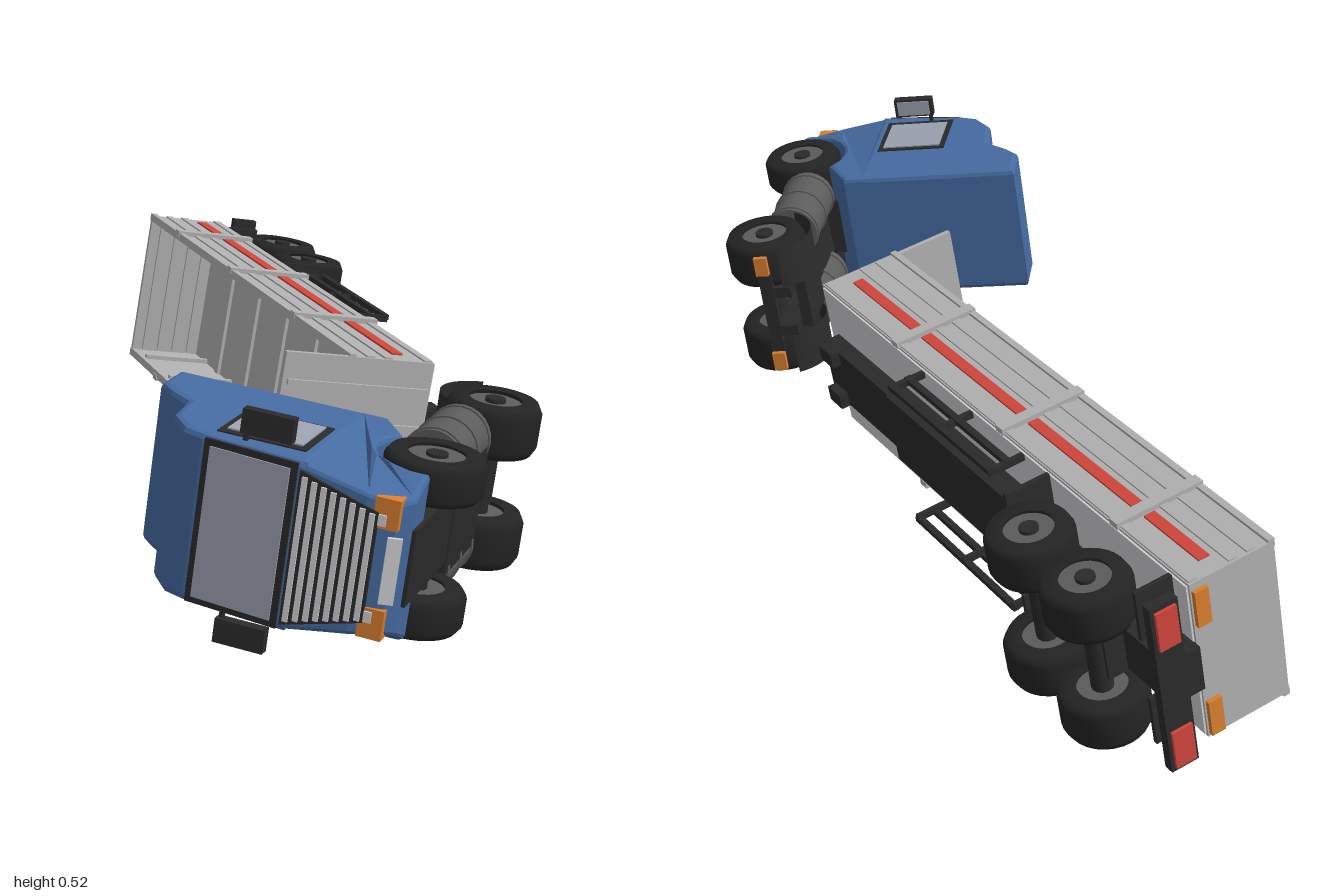
import * as THREE from 'three';

const mat = (name, color) => {
  const m = new THREE.MeshStandardMaterial({ color, side: THREE.DoubleSide });
  m.name = name;
  return m;
};
const blue = mat('cab blue', 0x466ca2);
const grey = mat('body grey', 0xb2b2b2);
const pale = mat('pale grey', 0xd2d2d6);
const dark = mat('chassis black', 0x2b2b2b);
const rubber = mat('tyre black', 0x242424);
const steel = mat('dark steel', 0x5c5c5c);
const glass = mat('window glass', 0x9da2b2);
const red = mat('red', 0xd0463c);
const orange = mat('orange', 0xdb8030);

function add(parent, name, geometry, material, x = 0, y = 0, z = 0) {
  const m = new THREE.Mesh(geometry, material);
  m.name = name;
  m.position.set(x, y, z);
  parent.add(m);
  return m;
}
const box = (parent, name, material, w, h, d, x, y, z) =>
  add(parent, name, new THREE.BoxGeometry(w, h, d), material, x, y, z);

// Side profile of [z, y] points, extruded across the vehicle
function sideExtrude(points, width, bevel) {
  const shape = new THREE.Shape(points.map(p => new THREE.Vector2(p[0], p[1])));
  const depth = width - 2 * bevel;
  const g = new THREE.ExtrudeGeometry(shape, {
    depth, bevelEnabled: true, bevelSize: bevel, bevelThickness: bevel, bevelOffset: -bevel, bevelSegments: 2,
  });
  return g.translate(0, 0, -depth / 2).rotateY(-Math.PI / 2);
}

// Wheel with its axle along x and a dished hub on both faces
function wheel(parent, name, r, w, x, y, z) {
  const g = new THREE.Group();
  g.name = name;
  g.position.set(x, y, z);
  parent.add(g);
  const h = w / 2;
  const profile = [[0.56, -h], [0.9, -h], [1, -h * 0.65], [1, h * 0.65], [0.9, h], [0.56, h]]
    .map(p => new THREE.Vector2(p[0] * r, p[1]));
  add(g, 'tyre', new THREE.LatheGeometry(profile, 28).rotateZ(Math.PI / 2), rubber);
  add(g, 'rim', new THREE.CylinderGeometry(r * 0.57, r * 0.57, w * 0.86, 24).rotateZ(Math.PI / 2), steel);
  add(g, 'hub', new THREE.CylinderGeometry(r * 0.22, r * 0.22, w * 1.02, 12).rotateZ(Math.PI / 2), dark);
}

// Turns a group so that its z axis is forward and its x axis is left
function orient(group, forward, left, origin) {
  const f = new THREE.Vector3(...forward).normalize();
  const up = f.clone().cross(new THREE.Vector3(...left)).normalize();
  const l = up.clone().cross(f);
  group.quaternion.setFromRotationMatrix(new THREE.Matrix4().makeBasis(l, up, f));
  group.position.set(...origin);
}

function buildTractor() {
  const t = new THREE.Group();
  t.name = 'tractor';

  // Upper cab with the raised roof at the back
  add(t, 'cabUpper', sideExtrude([[-0.152, 0.17], [0.203, 0.17], [0.18, 0.375], [0.165, 0.415], [0.11, 0.457],
    [0.016, 0.468], [-0.02, 0.515], [-0.055, 0.548], [-0.152, 0.55]], 0.315, 0.012), blue);

  // Lower cab with wheel arches, narrowing toward the bumper
  const lower = [[-0.152, 0.19], [-0.152, 0.135]];
  for (let a = 130; a >= -10; a -= 20) {
    const r = a * Math.PI / 180;
    lower.push([0.106 * Math.cos(r), 0.106 * Math.sin(r)]);
  }
  lower.push([0.17, -0.018], [0.195, 0.005], [0.207, 0.06], [0.203, 0.19]);
  const lowerGeo = sideExtrude(lower, 0.315, 0.01);
  const pos = lowerGeo.attributes.position;
  for (let i = 0; i < pos.count; i++) {
    const front = THREE.MathUtils.smoothstep(pos.getZ(i), 0.09, 0.2);
    const low = THREE.MathUtils.clamp((0.2 - pos.getY(i)) / 0.2, 0, 1);
    pos.setX(i, pos.getX(i) * (1 - 0.24 * front * low));
  }
  lowerGeo.computeVertexNormals();
  add(t, 'cabLower', lowerGeo, blue);

  // Windscreen
  const screen = new THREE.Group();
  screen.name = 'windscreen';
  screen.position.set(0, 0.277, 0.194);
  screen.rotation.x = -0.112;
  t.add(screen);
  box(screen, 'windscreenFrame', dark, 0.304, 0.18, 0.006, 0, 0, 0);
  box(screen, 'windscreenGlass', glass, 0.28, 0.155, 0.006, 0, 0, 0.003);

  // Grille: dark tapered plate with pale slats
  const plate = new THREE.Shape([[-0.142, 0.182], [-0.1, 0.035], [0.1, 0.035], [0.142, 0.182]]
    .map(p => new THREE.Vector2(...p)));
  add(t, 'grillePlate', new THREE.ExtrudeGeometry(plate, { depth: 0.008, bevelEnabled: false }), dark, 0, 0, 0.202);
  for (let i = 0; i < 8; i++) {
    const y = 0.045 + i * 0.018;
    box(t, 'grilleSlat', pale, 0.19 + (y - 0.035) * 0.55, 0.01, 0.006, 0, y, 0.211);
  }
  box(t, 'bumperPlate', pale, 0.12, 0.026, 0.008, 0, 0.002, 0.2).rotation.x = 0.35;

  for (const s of [-1, 1]) {
    box(t, 'headlight', orange, 0.055, 0.045, 0.045, s * 0.1, 0.022, 0.183);
    box(t, 'headlightLens', pale, 0.02, 0.018, 0.005, s * 0.088, 0.03, 0.207);
    // Side window and mirror
    box(t, 'sideWindowFrame', dark, 0.006, 0.165, 0.16, s * 0.157, 0.275, 0.075);
    box(t, 'sideWindowGlass', glass, 0.006, 0.14, 0.13, s * 0.16, 0.275, 0.072);
    box(t, 'mirror', dark, 0.045, 0.095, 0.022, s * 0.195, 0.26, 0.17);
    box(t, 'mirrorGlass', glass, 0.036, 0.08, 0.004, s * 0.195, 0.26, 0.158);
    box(t, 'mirrorArm', dark, 0.05, 0.008, 0.01, s * 0.165, 0.3, 0.165);
    // Running gear
    wheel(t, 'frontWheel', 0.093, 0.075, s * 0.124, 0, 0);
    wheel(t, 'rearWheel', 0.093, 0.1, s * 0.112, 0, -0.417);
    const fender = new THREE.CylinderGeometry(0.104, 0.104, 0.1, 14, 1, true, 0.45, 2.25).rotateZ(Math.PI / 2);
    add(t, 'rearFender', fender, dark, s * 0.112, 0.005, -0.417);
    box(t, 'frameRail', dark, 0.025, 0.05, 0.56, s * 0.05, 0.04, -0.23);
    box(t, 'tailLight', orange, 0.045, 0.03, 0.012, s * 0.125, 0.01, -0.518);
    // Fuel tank with straps
    add(t, 'fuelTank', new THREE.CylinderGeometry(0.06, 0.06, 0.2, 24).rotateX(Math.PI / 2), steel, s * 0.105, 0.035, -0.215);
    for (const z of [-0.3, -0.215, -0.13]) {
      add(t, 'tankStrap', new THREE.CylinderGeometry(0.063, 0.063, 0.012, 24).rotateX(Math.PI / 2), steel, s * 0.105, 0.035, z);
    }
  }
  box(t, 'engineBlock', dark, 0.14, 0.14, 0.26, 0, 0.045, 0.04);
  box(t, 'underTray', dark, 0.2, 0.09, 0.21, 0, 0.02, -0.205);
  box(t, 'rearCrossMember', dark, 0.29, 0.03, 0.02, 0, 0.01, -0.503);
  box(t, 'couplingPlate', dark, 0.12, 0.025, 0.13, 0, 0.08, -0.41);
  for (const z of [0, -0.417]) {
    add(t, 'axle', new THREE.CylinderGeometry(0.02, 0.02, 0.24, 12).rotateZ(Math.PI / 2), dark, 0, 0, z);
  }
  orient(t, [0.036, 0.05, 1], [0.12, 0.99, -0.054], [0.59, 0.26, 0.785]);
  return t;
}

function buildTrailer() {
  const t = new THREE.Group();
  t.name = 'trailer';
  const len = 1.395, half = 0.181, wallH = 0.187, mid = -len / 2;

  // Open body
  box(t, 'floor', grey, 2 * half, 0.012, len, 0, 0.006, mid);
  box(t, 'floorUnderside', pale, 2 * half - 0.01, 0.004, len - 0.01, 0, -0.002, mid);
  box(t, 'headboard', grey, 2 * half, 0.325, 0.012, 0, 0.1625, -0.006);
  box(t, 'tailgate', grey, 2 * half, wallH, 0.012, 0, wallH / 2, 0.006 - len);
  for (const x of [-0.12, -0.04, 0.04, 0.12]) {
    box(t, 'headboardRib', grey, 0.012, 0.31, 0.008, x, 0.16, 0.003);
  }
  for (const y of [0.035, 0.075, 0.115, 0.155]) {
    box(t, 'tailgateRib', grey, 0.33, 0.014, 0.008, 0, y, 0.015 - len);
  }
  // Cross ribs on the floor
  for (let i = 1; i < 7; i++) {
    box(t, 'floorRib', grey, 0.34, 0.01, 0.025, 0, 0.015, -len * i / 7);
  }

  const ribs = [-1.163, -0.76, -0.335], ends = [-1.37, ...ribs, -0.03];
  for (const s of [-1, 1]) {
    const side = new THREE.Group();
    side.name = 'sideWall';
    t.add(side);
    box(side, 'wallPanel', grey, 0.01, wallH, len, s * (half - 0.005), wallH / 2, mid);
    for (const y of [0.012, 0.1, 0.14]) {
      box(side, 'wallRidge', grey, 0.005, 0.018, len - 0.01, s * (half + 0.001), y, mid);
    }
    box(side, 'topRail', grey, 0.018, 0.014, len, s * (half - 0.003), wallH - 0.005, mid);
    for (const z of ribs) {
      box(side, 'wallPost', grey, 0.014, wallH + 0.008, 0.026, s * (half + 0.004), wallH / 2, z);
    }
    for (let i = 0; i < 7; i++) {
      box(side, 'innerRib', grey, 0.012, wallH - 0.02, 0.014, s * (half - 0.014), wallH / 2, -len * (i + 0.5) / 7);
    }
    // Red stripe between the posts
    for (let i = 0; i < 4; i++) {
      const a = ends[i] + 0.018, b = ends[i + 1] - 0.018;
      box(side, 'stripe', red, 0.006, 0.024, b - a, s * (half + 0.001), 0.064, (a + b) / 2);
    }
    // Lights on the tail
    box(t, 'tailMarker', orange, 0.08, 0.03, 0.01, s * 0.13, 0.016, -len - 0.009);
    box(t, 'bumperLight', red, 0.085, 0.045, 0.008, s * 0.14, -0.07, -len - 0.026);
    // Wheels, flaps and side guard
    for (const z of [-1.241, -1.05]) wheel(t, 'trailerWheel', 0.088, 0.095, s * 0.128, -0.12, z);
    box(t, 'mudFlap', dark, 0.11, 0.1, 0.01, s * 0.125, -0.055, -0.94);
    box(t, 'rearFlap', dark, 0.11, 0.08, 0.01, s * 0.125, -0.045, -1.345);
    for (const y of [-0.04, -0.08]) {
      box(t, 'guardRail', dark, 0.012, 0.014, 0.4, s * 0.172, y, -0.65);
    }
    for (const z of [-0.845, -0.65, -0.455]) {
      box(t, 'guardPost', dark, 0.014, 0.085, 0.012, s * 0.168, -0.042, z);
    }
    box(t, 'landingLeg', dark, 0.035, 0.055, 0.055, s * 0.055, -0.035, -0.08);
  }

  // Chassis
  box(t, 'frameFront', dark, 0.14, 0.04, 0.36, 0, -0.022, -0.22);
  box(t, 'frameMiddle', dark, 0.165, 0.052, 0.6, 0, -0.028, -0.65);
  box(t, 'frameRear', dark, 0.1, 0.075, 0.5, 0, -0.04, -1.16);
  for (const z of [-1.241, -1.05]) {
    add(t, 'trailerAxle', new THREE.CylinderGeometry(0.022, 0.022, 0.25, 12).rotateZ(Math.PI / 2), dark, 0, -0.12, z);
    box(t, 'axleMount', dark, 0.11, 0.07, 0.06, 0, -0.085, z);
  }
  box(t, 'rearBumper', dark, 0.385, 0.06, 0.022, 0, -0.07, -len - 0.012);
  orient(t, [0.659, 0, 0.752], [0.131, 0.985, -0.114], [0.377, 0.21, 0.16]);
  return t;
}

export function createModel() {
  const model = new THREE.Group();
  model.name = 'overturnedTruck';
  model.add(buildTractor(), buildTrailer());
  return model;
}
